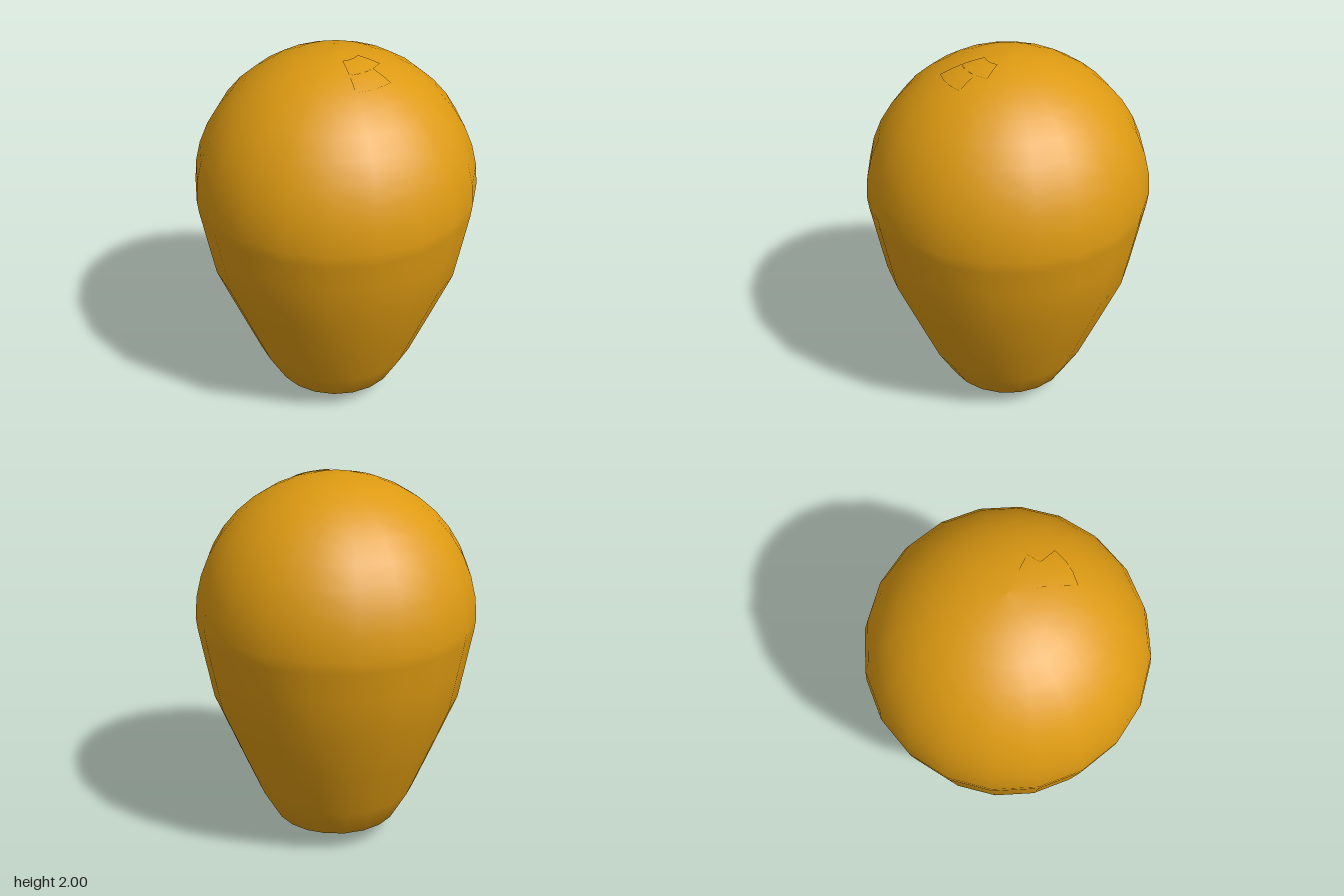
import * as THREE from 'three';

const SIDES = 20;
const RADIUS = 0.735;
const CENTRE_Y = 1.265;
const STEP = Math.PI / 20; // 9 degrees between dome rings

function lathe(name, points, color) {
  const geometry = new THREE.LatheGeometry(points.map(([r, y]) => new THREE.Vector2(r, y)), SIDES);
  const mesh = new THREE.Mesh(geometry, new THREE.MeshStandardMaterial({ color }));
  mesh.name = name;
  return mesh;
}

export function createModel() {
  const group = new THREE.Group();
  group.name = 'bulb';

  // Pear-shaped body: tapering lower half, hemispherical dome above
  const profile = [
    [0, 0.07], [0.23, 0.07], [0.335, 0.115], [0.43, 0.28], [0.535, 0.53],
    [0.655, 0.82], [0.697, 1.04], [0.727, 1.2],
  ];
  for (let i = 0; i <= 10; i++) {
    profile.push([i === 10 ? 0 : RADIUS * Math.cos(i * STEP), CENTRE_Y + RADIUS * Math.sin(i * STEP)]);
  }
  group.add(lathe('body', profile, 0xdd9a12));

  // Short dark neck with a very slightly domed end
  group.add(lathe('neck', [[0, 0], [0.113, 0.012], [0.113, 0.012], [0.113, 0.075]], 0x6b4812));

  // Highlight patch lying just above the dome: [first ring, first column, columns]
  const patch = new THREE.Group();
  patch.name = 'highlight';
  const material = new THREE.MeshStandardMaterial({ color: 0xdd9a12, side: THREE.DoubleSide });
  for (const [ring, column, columns] of [[1, 8, 3], [2, 8, 2]]) {
    const geometry = new THREE.SphereGeometry(
      RADIUS + 0.004, columns, 1, column * 2 * STEP, columns * 2 * STEP, ring * STEP, STEP);
    const mesh = new THREE.Mesh(geometry, material);
    mesh.name = 'highlightBand';
    mesh.position.y = CENTRE_Y;
    patch.add(mesh);
  }
  group.add(patch);

  return group;
}
